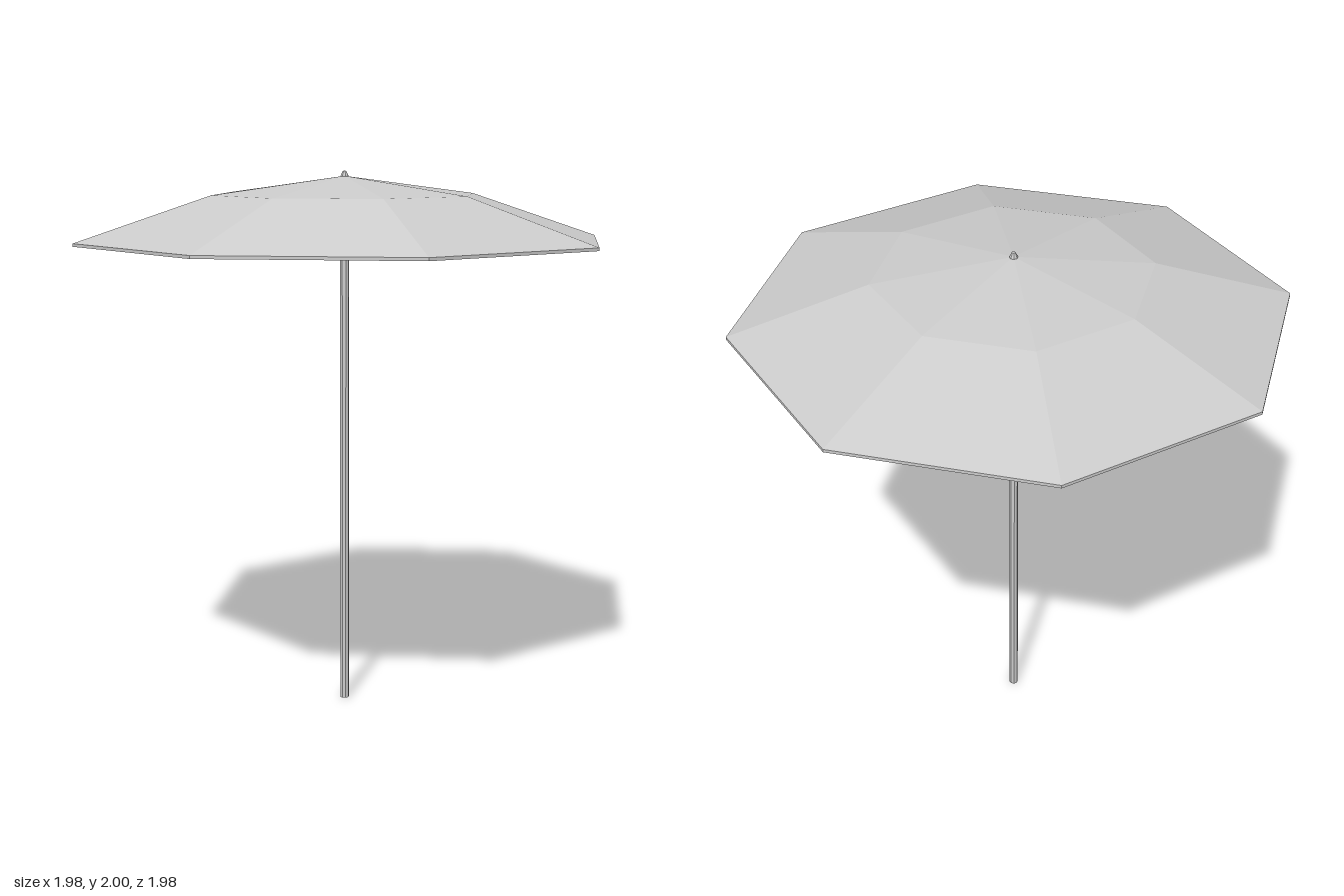
import * as THREE from 'three';

const SIDES = 8;

export function createModel() {
  const group = new THREE.Group();
  const material = new THREE.MeshStandardMaterial({ color: 0xcccccc, flatShading: true });

  const addLathe = (name, profile) => {
    const points = profile.map(([r, y]) => new THREE.Vector2(r, y));
    const mesh = new THREE.Mesh(new THREE.LatheGeometry(points, SIDES), material);
    mesh.name = name;
    group.add(mesh);
  };

  // Thin two-tier canopy: underside outwards, then the rim, then the top back to the apex
  addLathe('canopy', [
    [0, 1.968], [0.495, 1.903], [0.99, 1.74],
    [0.99, 1.751], [0.495, 1.914], [0, 1.98],
  ]);

  // Straight pole reaching the underside of the canopy
  addLathe('pole', [[0, 0], [0.017, 0], [0.017, 1.97], [0, 1.97]]);

  // Small pointed cap on the apex
  addLathe('finial', [[0, 1.97], [0.017, 1.97], [0.014, 1.983], [0.007, 1.997], [0, 2]]);

  return group;
}
